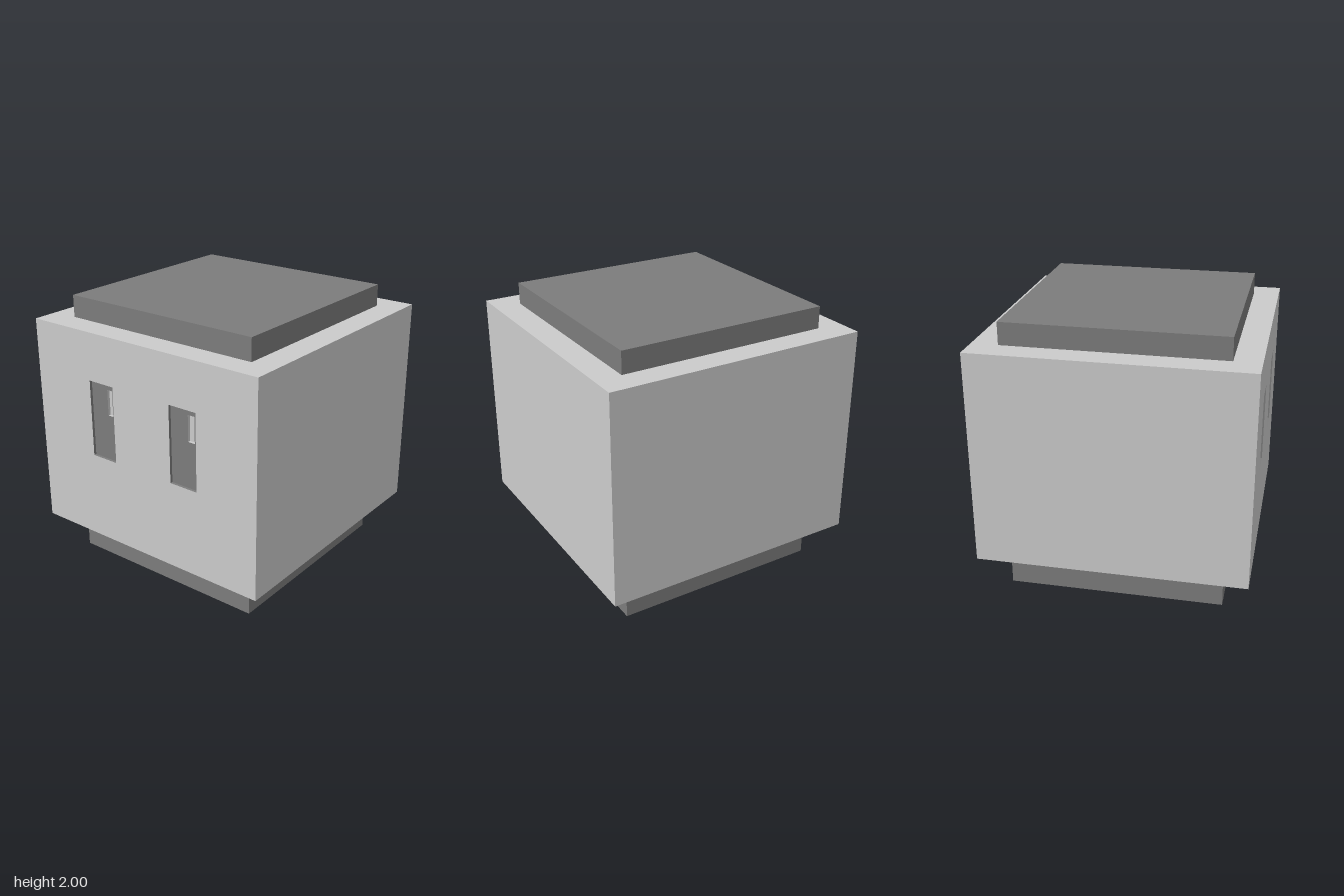
import * as THREE from 'three';

const BODY = 0.965, COLLAR = 0.775;              // half widths
const Y = { bottom: 0, bodyLow: 0.285, bodyHigh: 1.84, top: 2 };
const RECESS = 0.02;

const light = new THREE.MeshStandardMaterial({ color: 0xcccccc, flatShading: true, side: THREE.DoubleSide });
const dark = new THREE.MeshStandardMaterial({ color: 0x7c7c7c, flatShading: true, side: THREE.DoubleSide });

// Rectangles are [x0, y0, x1, y1]
const eyes = [
  { eye: [-0.46, 0.925, -0.245, 1.49], glint: [-0.315, 1.26, -0.27, 1.45], side: 'right' },
  { eye: [0.255, 0.925, 0.48, 1.49], glint: [0.40, 1.26, 0.455, 1.45], side: 'left' },
];

function trace(path, [x0, y0, x1, y1]) {
  path.moveTo(x0, y0);
  path.lineTo(x1, y0);
  path.lineTo(x1, y1);
  path.lineTo(x0, y1);
  path.closePath();
  return path;
}

// Flat rectangle facing +z, with rectangular holes
function panel(rect, holes = []) {
  const shape = trace(new THREE.Shape(), rect);
  for (const hole of holes) shape.holes.push(trace(new THREE.Path(), hole));
  return new THREE.ShapeGeometry(shape);
}

// Four upright walls without ends
function sleeve(width, height, depth) {
  return new THREE.CylinderGeometry(Math.SQRT1_2, Math.SQRT1_2, 1, 4, 1, true)
    .rotateY(Math.PI / 4)
    .scale(width, height, depth);
}

// Walls of a recess running back from z
function recessWalls([x0, y0, x1, y1], z) {
  return sleeve(x1 - x0, RECESS, y1 - y0)
    .rotateX(Math.PI / 2)
    .translate((x0 + x1) / 2, (y0 + y1) / 2, z - RECESS / 2);
}

export function createModel() {
  const model = new THREE.Group();
  const add = (name, geometry, material) => {
    const mesh = new THREE.Mesh(geometry, material);
    mesh.name = name;
    model.add(mesh);
  };
  const square = (h) => [-h, -h, h, h];

  // Body: a hollow shell, pierced at the front for the eyes
  const wall = [-BODY, Y.bodyLow, BODY, Y.bodyHigh];
  ['bodyFront', 'bodyLeft', 'bodyBack', 'bodyRight'].forEach((name, i) => {
    const holes = i === 0 ? eyes.map((e) => e.eye) : [];
    add(name, panel(wall, holes).translate(0, 0, BODY).rotateY(i * Math.PI / 2), light);
  });
  const ledge = () => panel(square(BODY), [square(COLLAR)]);
  add('upperLedge', ledge().rotateX(-Math.PI / 2).translate(0, Y.bodyHigh, 0), light);
  add('lowerLedge', ledge().rotateX(Math.PI / 2).translate(0, Y.bodyLow, 0), light);

  // Cap on top and open collar underneath
  const collar = (y0, y1) => sleeve(2 * COLLAR, y1 - y0, 2 * COLLAR).translate(0, (y0 + y1) / 2, 0);
  add('capSides', collar(Y.bodyHigh, Y.top), dark);
  add('capTop', panel(square(COLLAR)).rotateX(-Math.PI / 2).translate(0, Y.top, 0), dark);
  add('neckCollar', collar(Y.bottom, Y.bodyLow), dark);

  // Sunken eyes, each with a deeper pale glint
  for (const { eye, glint, side } of eyes) {
    const z = BODY - RECESS;
    add(`${side}EyeRim`, recessWalls(eye, BODY), dark);
    add(`${side}Eye`, panel(eye, [glint]).translate(0, 0, z), dark);
    add(`${side}GlintRim`, recessWalls(glint, z), light);
    add(`${side}Glint`, panel(glint).translate(0, 0, z - RECESS), light);
  }
  return model;
}
